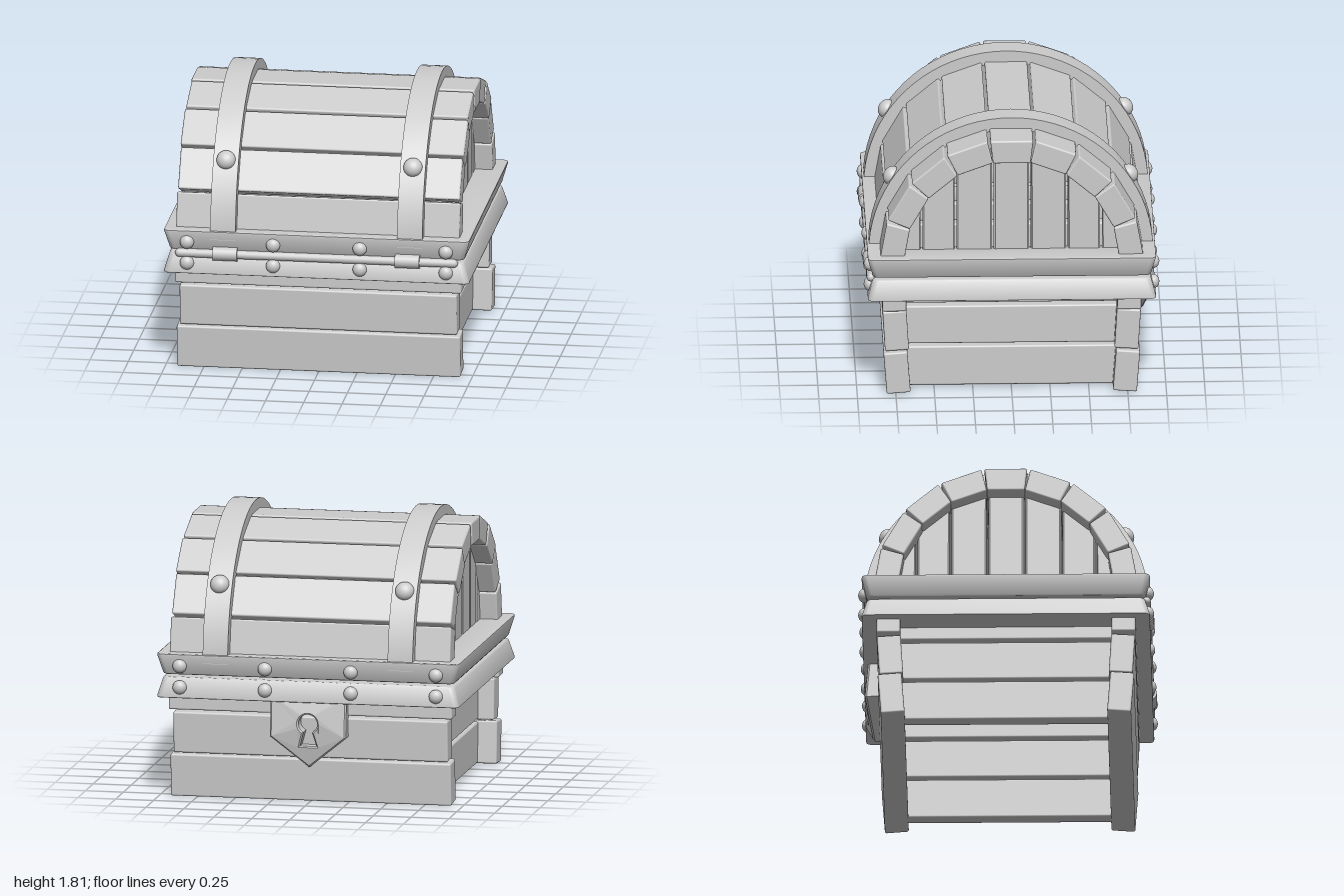
import * as THREE from 'three';
import { toCreasedNormals } from 'three/addons/utils/BufferGeometryUtils.js';
import { RoundedBoxGeometry } from 'three/addons/geometries/RoundedBoxGeometry.js';

const material = new THREE.MeshStandardMaterial({ color: 0xcccccc });
const ARC_Y = 0.89; // height of the lid's arc centre

export function createModel() {
  const model = new THREE.Group();

  const add = (name, geometry, x = 0, y = 0, z = 0, rx = 0) => {
    const mesh = new THREE.Mesh(geometry, material);
    mesh.name = name;
    mesh.position.set(x, y, z);
    mesh.rotation.x = rx;
    model.add(mesh);
    return mesh;
  };
  const plank = (w, h, d) => new RoundedBoxGeometry(w, h, d, 2, 0.012);

  // Move every vertex of a geometry by a rule
  const reshape = (geometry, rule) => {
    const p = geometry.attributes.position;
    const v = new THREE.Vector3();
    for (let i = 0; i < p.count; i++) {
      rule(v.fromBufferAttribute(p, i));
      p.setXYZ(i, v.x, v.y, v.z);
    }
    return geometry;
  };

  // Base: slightly leaning front and back planks, inset end planks, open below
  const rows = [
    { y0: 0, y1: 0.28, w: 1.85, z: 0.742, tilt: 0.075 },
    { y0: 0.287, y1: 0.558, w: 1.81, z: 0.75, tilt: 0.06 },
    { y0: 0.568, y1: 0.7, w: 1.87, z: 0.76, tilt: 0 },
  ];
  for (const { y0, y1, w, z, tilt } of rows) {
    const h = y1 - y0, y = (y0 + y1) / 2;
    for (const s of [1, -1]) {
      add(s > 0 ? 'frontPlank' : 'backPlank', plank(w, h, 0.155), 0, y, s * z, s * tilt);
      add('endPlank', plank(0.1, h - 0.012, 1.38), s * 0.75, y + 0.002, 0);
    }
  }

  // Rims: rounded rectangular frames with sloping outer faces
  const roundedRect = (path, a, b, r) => {
    path.moveTo(a - r, -b);
    path.absarc(a - r, -b + r, r, -Math.PI / 2, 0);
    path.absarc(a - r, b - r, r, 0, Math.PI / 2);
    path.absarc(-a + r, b - r, r, Math.PI / 2, Math.PI);
    path.absarc(-a + r, -b + r, r, Math.PI, Math.PI * 1.5);
    path.closePath();
    return path;
  };
  const rim = (name, y0, y1, bottomScale, topScale) => {
    const shape = roundedRect(new THREE.Shape(), 1, 0.935, 0.04);
    shape.holes.push(roundedRect(new THREE.Path(), 0.75, 0.68, 0.08));
    const h = y1 - y0;
    const g = new THREE.ExtrudeGeometry(shape, {
      depth: h - 0.024, bevelEnabled: true, bevelThickness: 0.012, bevelSize: 0.012,
      bevelOffset: -0.012, bevelSegments: 2, curveSegments: 5,
    });
    g.rotateX(-Math.PI / 2).translate(0, 0.012, 0);
    reshape(g, (v) => {
      if (Math.abs(v.x) < 0.85 && Math.abs(v.z) < 0.8) return;
      const k = THREE.MathUtils.lerp(bottomScale, topScale, v.y / h);
      v.x *= k;
      v.z *= k;
    });
    add(name, toCreasedNormals(g, 0.6), 0, y0);
  };
  rim('lowerRim', 0.66, 0.795, 1, 0.96);
  rim('upperRim', 0.81, 0.95, 0.96, 1);

  // Lid: nine wedge-shaped planks around a half circle
  for (let i = -4; i <= 4; i++) {
    const a = THREE.MathUtils.degToRad(i * 20);
    const g = reshape(plank(i % 2 ? 1.84 : 1.85, 0.155, 0.26), (v) => { v.z *= 1 + v.y * 0.9; });
    add('lidPlank', g, 0, ARC_Y + 0.768 * Math.cos(a), 0.768 * Math.sin(a), a);
  }

  // Lid ends: upright boards cut to the arch
  const cuts = [-0.745, -0.58, -0.36, -0.12, 0.12, 0.36, 0.58, 0.745];
  const archY = (z) => ARC_Y + Math.sqrt(0.75 * 0.75 - z * z);
  for (let i = 0; i < cuts.length - 1; i++) {
    const a = cuts[i] + 0.006, b = cuts[i + 1] - 0.006;
    const shape = new THREE.Shape([
      new THREE.Vector2(a, 0.9), new THREE.Vector2(b, 0.9),
      new THREE.Vector2(b, archY(b)), new THREE.Vector2((a + b) / 2, archY((a + b) / 2)),
      new THREE.Vector2(a, archY(a)),
    ]);
    const g = new THREE.ExtrudeGeometry(shape, {
      depth: 0.04, bevelThickness: 0.01, bevelSize: 0.01, bevelOffset: -0.01, bevelSegments: 1,
    });
    g.translate(0, 0, -0.02).rotateY(Math.PI / 2);
    for (const s of [1, -1]) add('lidEndBoard', g, s * 0.78);
  }

  // Domed bolt
  const boltGeometry = new THREE.SphereGeometry(1, 20, 14);
  const bolt = (name, r, x, y, z, rx = 0) =>
    add(name, boltGeometry, x, y, z, rx).scale.set(r, r, r * 0.85);

  // Straps over the lid, with a bolt on each side
  const strapShape = new THREE.Shape();
  strapShape.absarc(0, 0, 0.92, 0, Math.PI, false);
  strapShape.absarc(0, 0, 0.835, Math.PI, 0, true);
  const strapGeometry = toCreasedNormals(
    new THREE.ExtrudeGeometry(strapShape, { depth: 0.165, bevelEnabled: false, curveSegments: 20 })
      .translate(0, 0, -0.0825).rotateY(Math.PI / 2), 0.5);
  for (const x of [-0.61, 0.61]) {
    add('strap', strapGeometry, x, ARC_Y, 0);
    for (const s of [1, -1]) bolt('strapBolt', 0.062, x, 1.39, s * 0.77, -s * 0.57);
  }

  // Rim bolts, front and back
  for (const x of [-0.845, -0.283, 0.283, 0.845])
    for (const y of [0.73, 0.87])
      for (const s of [1, -1]) bolt('rimBolt', 0.046, x, y, s * 0.917);

  // Hinge rod with two sleeves
  const rod = new THREE.CapsuleGeometry(0.028, 1.79, 6, 16).rotateZ(Math.PI / 2);
  add('hingeRod', rod, 0, 0.795, 0.91);
  const sleeve = new THREE.CylinderGeometry(0.045, 0.045, 0.16, 20).rotateZ(Math.PI / 2);
  for (const x of [-0.595, 0.595]) add('hingeSleeve', sleeve, x, 0.797, 0.91);

  // Lock plate on the back: a shield with a keyhole, thinner towards its tip
  const plate = new THREE.Shape([
    [-0.25, 0.7], [-0.25, 0.43], [0, 0.225], [0.25, 0.43], [0.25, 0.7],
  ].map(([x, y]) => new THREE.Vector2(x, y)));
  const keyhole = new THREE.Path();
  keyhole.absarc(0, 0.52, 0.062, -1.1, Math.PI + 1.1, false);
  keyhole.lineTo(-0.055, 0.37);
  keyhole.lineTo(0.055, 0.37);
  keyhole.closePath();
  plate.holes.push(keyhole);
  const lock = new THREE.ExtrudeGeometry(plate, {
    depth: 0.1, bevelThickness: 0.01, bevelSize: 0.01, bevelOffset: -0.01, bevelSegments: 1,
  });
  reshape(lock, (v) => {
    if (v.z > 0.05) v.z -= Math.max(0, 0.45 - v.y) * 0.25 + Math.max(0, v.y - 0.58) * 0.25;
  });
  lock.computeVertexNormals();
  lock.rotateY(Math.PI);
  add('lockPlate', lock, 0, 0, -0.815);

  return model;
}
